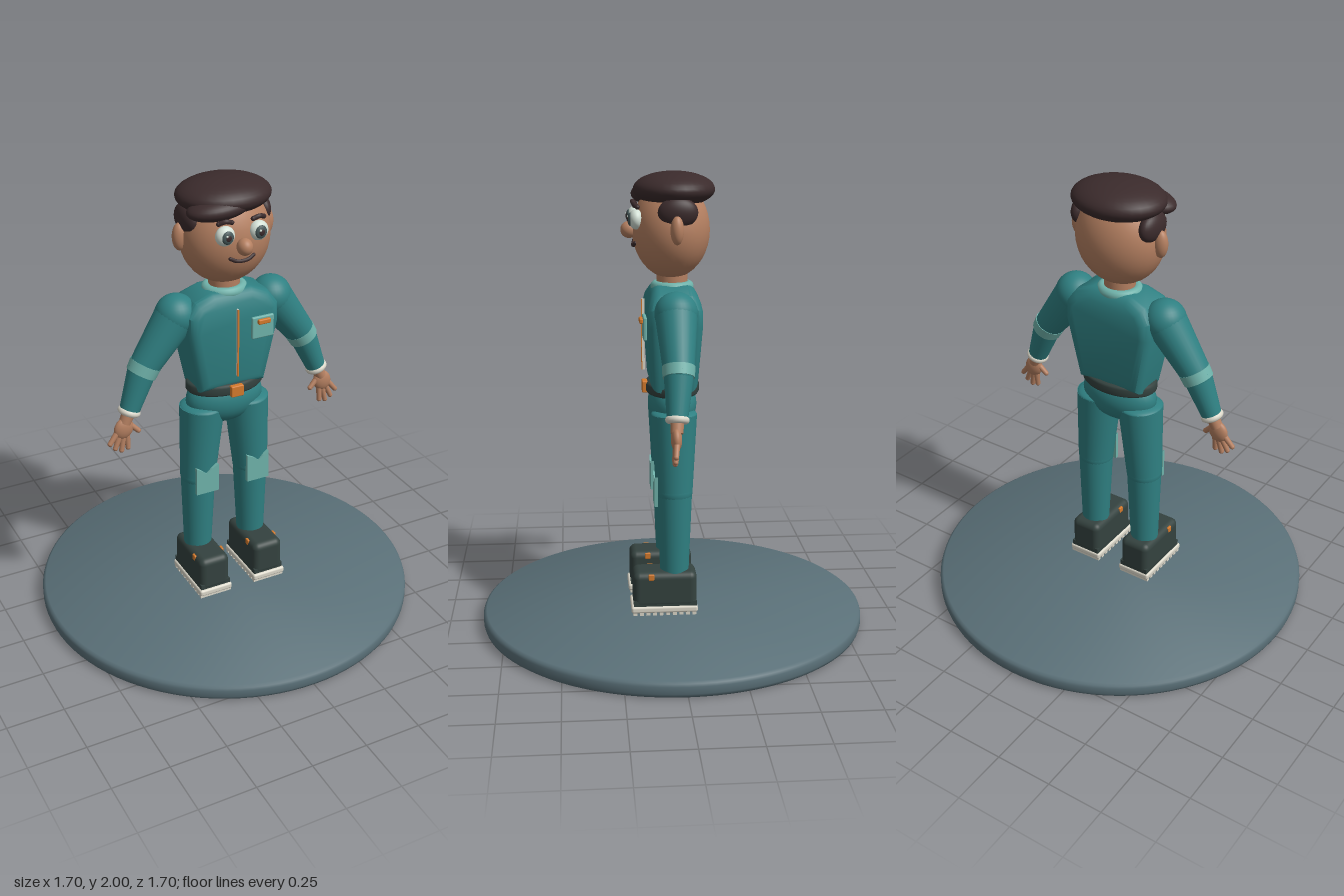
import * as THREE from 'three';
import { toCreasedNormals } from 'three/addons/utils/BufferGeometryUtils.js';
import { RoundedBoxGeometry } from 'three/addons/geometries/RoundedBoxGeometry.js';

const V = (x, y, z) => new THREE.Vector3(x, y, z);

function makeMaterials() {
  const colours = {
    slate: 0x5a7078, teal: 0x2f8082, paleTeal: 0x6fb2aa, skin: 0xb58061, hair: 0x3b2b2c,
    charcoal: 0x34423f, orange: 0xd47a2c, cream: 0xdcd8ca, eyeWhite: 0xd3e0d6, iris: 0x465859,
  };
  const mats = {};
  for (const [name, color] of Object.entries(colours)) {
    mats[name] = new THREE.MeshStandardMaterial({ color });
    mats[name].name = name;
  }
  return mats;
}

export function createModel() {
  const M = makeMaterials();
  const root = new THREE.Group();
  root.name = 'standingFigure';

  const add = (name, geo, mat, p = V(0, 0, 0)) => {
    const mesh = new THREE.Mesh(geo, mat);
    mesh.name = name;
    mesh.position.copy(p);
    root.add(mesh);
    return mesh;
  };
  const ball = (name, mat, p, rx, ry = rx, rz = rx) => {
    const mesh = add(name, new THREE.SphereGeometry(1, 32, 20), mat, p);
    mesh.scale.set(rx, ry, rz);
    return mesh;
  };
  const box = (name, mat, p, w, h, d) => add(name, new THREE.BoxGeometry(w, h, d), mat, p);
  // Tapered round limb running from a to b
  const limb = (name, mat, a, b, ra, rb) => {
    const dir = b.clone().sub(a);
    const mesh = add(name, new THREE.CylinderGeometry(rb, ra, dir.length(), 28), mat, a.clone().lerp(b, 0.5));
    mesh.quaternion.setFromUnitVectors(V(0, 1, 0), dir.normalize());
    return mesh;
  };
  const tube = (name, mat, pts, r) => {
    add(name, new THREE.TubeGeometry(new THREE.CatmullRomCurve3(pts), 16, r, 8), mat);
    for (const p of [pts[0], pts[pts.length - 1]]) ball(name + 'End', mat, p, r);
  };

  // Round stand with softened rim
  const rim = [[0, 0], [0.835, 0], [0.846, 0.008], [0.85, 0.02], [0.85, 0.05], [0.846, 0.062], [0.835, 0.07], [0, 0.07]];
  add('stand', toCreasedNormals(new THREE.LatheGeometry(rim.map(([x, y]) => new THREE.Vector2(x, y)), 96), 0.7), M.slate);

  // Jacket body: bevelled outline, slimmer towards the waist and the neck
  const half = [[0.155, 1.075], [0.213, 1.36], [0.21, 1.44], [0.17, 1.495], [0.09, 1.525]];
  const outline = [...half, ...half.slice().reverse().map(([x, y]) => [-x, y])];
  const body = new THREE.ExtrudeGeometry(new THREE.Shape(outline.map(([x, y]) => new THREE.Vector2(x, y))), {
    depth: 0.144, bevelThickness: 0.046, bevelSize: 0.045, bevelOffset: -0.045, bevelSegments: 5,
  });
  body.translate(0, 0, -0.072);
  const bp = body.attributes.position;
  for (let i = 0; i < bp.count; i++) {
    const y = bp.getY(i);
    const k = 0.86 + 0.14 * THREE.MathUtils.smoothstep(y, 1.08, 1.3) - 0.2 * THREE.MathUtils.smoothstep(y, 1.42, 1.53);
    bp.setZ(i, bp.getZ(i) * k);
  }
  add('jacket', toCreasedNormals(body, 0.6), M.teal);
  ball('hips', M.teal, V(0, 1.0, 0), 0.18, 0.12, 0.106);

  // Belt and buckle
  const beltProfile = [[0.85, 1.05], [0.96, 1.052], [1, 1.06], [1, 1.088], [0.96, 1.097], [0.85, 1.1]];
  const belt = new THREE.LatheGeometry(beltProfile.map(([x, y]) => new THREE.Vector2(x, y)), 48);
  belt.scale(0.178, 1, 0.117);
  M.charcoal.side = THREE.DoubleSide;
  add('belt', belt, M.charcoal);
  add('buckle', new RoundedBoxGeometry(0.06, 0.052, 0.025, 2, 0.005), M.orange, V(0, 1.074, 0.12));

  // Zip, chest pocket and tag
  box('zip', M.cream, V(0, 1.302, 0.125), 0.005, 0.31, 0.012);
  box('zipLine', M.orange, V(0, 1.302, 0.132), 0.007, 0.31, 0.004);
  add('chestPocket', new RoundedBoxGeometry(0.104, 0.1, 0.016, 2, 0.006), M.paleTeal, V(0.118, 1.355, 0.126));
  add('pocketTag', new RoundedBoxGeometry(0.058, 0.022, 0.016, 2, 0.005), M.orange, V(0.118, 1.385, 0.141));

  // Collar and neck
  const collar = new THREE.TorusGeometry(0.077, 0.024, 14, 40);
  collar.rotateX(Math.PI / 2);
  add('collar', collar, M.paleTeal, V(0, 1.512, 0)).scale.z = 0.92;
  limb('neck', M.skin, V(0, 1.48, 0), V(0, 1.6, 0), 0.067, 0.067);

  // Head, nose, cap of hair with a swept fringe
  ball('head', M.skin, V(0, 1.755, 0.005), 0.197, 0.208, 0.166);
  ball('nose', M.skin, V(0, 1.755, 0.183), 0.033, 0.036, 0.037);
  ball('hairTop', M.hair, V(0, 1.925, -0.008), 0.205, 0.075, 0.174);
  ball('fringe', M.hair, V(-0.065, 1.902, 0.085), 0.142, 0.048, 0.087).rotation.z = 0.08;
  tube('mouth', M.hair, [V(-0.053, 1.704, 0.16), V(-0.028, 1.692, 0.165), V(0, 1.689, 0.167),
    V(0.028, 1.692, 0.165), V(0.053, 1.704, 0.16)], 0.008);

  for (const s of [1, -1]) {
    const P = (x, y, z) => V(s * x, y, z);

    // Face details
    ball('eye', M.eyeWhite, P(0.076, 1.805, 0.157), 0.042, 0.042, 0.031);
    ball('iris', M.iris, P(0.075, 1.805, 0.181), 0.026, 0.028, 0.011);
    ball('pupil', M.hair, P(0.075, 1.805, 0.188), 0.014, 0.015, 0.006);
    ball('eyeGlint', M.eyeWhite, V(s * 0.075 - 0.008, 1.815, 0.192), 0.005, 0.005, 0.003);
    tube('eyebrow', M.hair, [P(0.048, 1.86, 0.162), P(0.075, 1.868, 0.165), P(0.102, 1.858, 0.152)], 0.01);
    ball('ear', M.skin, P(0.2, 1.77, -0.006), 0.032, 0.06, 0.028);
    ball('sideHair', M.hair, P(0.165, 1.84, -0.012), 0.04, 0.064, 0.084);

    // Sleeves
    const shoulder = P(0.225, 1.43, 0), elbow = P(0.385, 1.215, 0.002), wrist = P(0.458, 1.035, 0.014);
    const along = elbow.clone().sub(shoulder).normalize();
    ball('shoulder', M.teal, shoulder, 0.091);
    limb('upperSleeve', M.teal, shoulder, elbow, 0.09, 0.064);
    ball('elbow', M.teal, elbow, 0.064);
    limb('elbowBand', M.paleTeal, elbow.clone().addScaledVector(along, -0.025),
      elbow.clone().addScaledVector(wrist.clone().sub(elbow).normalize(), 0.022), 0.069, 0.066);
    limb('forearmSleeve', M.teal, elbow, wrist, 0.063, 0.043);
    const cuff = add('cuff', new THREE.TorusGeometry(0.034, 0.016, 12, 28), M.cream, wrist);
    cuff.quaternion.setFromUnitVectors(V(0, 0, 1), wrist.clone().sub(elbow).normalize());

    // Hand with four fingers and a thumb
    limb('wrist', M.skin, wrist, P(0.482, 0.985, 0.018), 0.029, 0.026);
    const palm = ball('palm', M.skin, P(0.488, 0.962, 0.02), 0.043, 0.05, 0.023);
    palm.rotation.z = s * 0.4;
    const fingers = [
      [0.518, 0.95, 0.555, 0.905], [0.506, 0.935, 0.532, 0.878],
      [0.49, 0.93, 0.504, 0.863], [0.474, 0.932, 0.474, 0.87], [0.462, 0.978, 0.424, 0.94],
    ];
    fingers.forEach(([x0, y0, x1, y1], i) => {
      const name = i < 4 ? 'finger' : 'thumb', tip = P(x1, y1, 0.026);
      limb(name, M.skin, P(x0, y0, 0.02), tip, 0.013, 0.011);
      ball(name + 'Tip', M.skin, tip, 0.0112);
    });

    // Trouser legs
    const hip = P(0.108, 0.97, 0), knee = P(0.131, 0.635, 0);
    limb('thigh', M.teal, knee, hip, 0.08, 0.1);
    ball('thighTop', M.teal, hip, 0.1, 0.025, 0.1);
    ball('knee', M.teal, knee, 0.08);
    limb('shin', M.teal, P(0.136, 0.27, 0), knee, 0.063, 0.078);

    // Knee patch with a notched top edge
    const patch = new THREE.Shape([[-0.054, -0.068], [0.054, -0.068], [0.054, 0.066], [0.028, 0.05],
      [0.004, 0.03], [-0.02, 0.05], [-0.054, 0.066]].map(([x, y]) => new THREE.Vector2(s * x, y)));
    add('kneePatch', new THREE.ExtrudeGeometry(patch, { depth: 0.016, bevelEnabled: false }), M.paleTeal, P(0.126, 0.643, 0.074));

    // Boot, sole, treads and side tabs
    add('boot', new RoundedBoxGeometry(0.146, 0.165, 0.28, 4, 0.03), M.charcoal, P(0.136, 0.197, 0.045));
    box('bootBase', M.charcoal, P(0.136, 0.135, 0.045), 0.144, 0.03, 0.276);
    add('sole', new RoundedBoxGeometry(0.16, 0.03, 0.292, 3, 0.01), M.cream, P(0.136, 0.112, 0.048));
    for (let i = 0; i < 10; i++) {
      box('tread', M.cream, P(0.136, 0.093, -0.083 + i * 0.029), 0.152, 0.014, 0.017);
    }
    for (const t of [1, -1]) {
      add('bootTab', new RoundedBoxGeometry(0.012, 0.028, 0.026, 2, 0.004), M.orange, P(0.136 + t * 0.068, 0.26, 0.106));
    }
  }
  return root;
}
